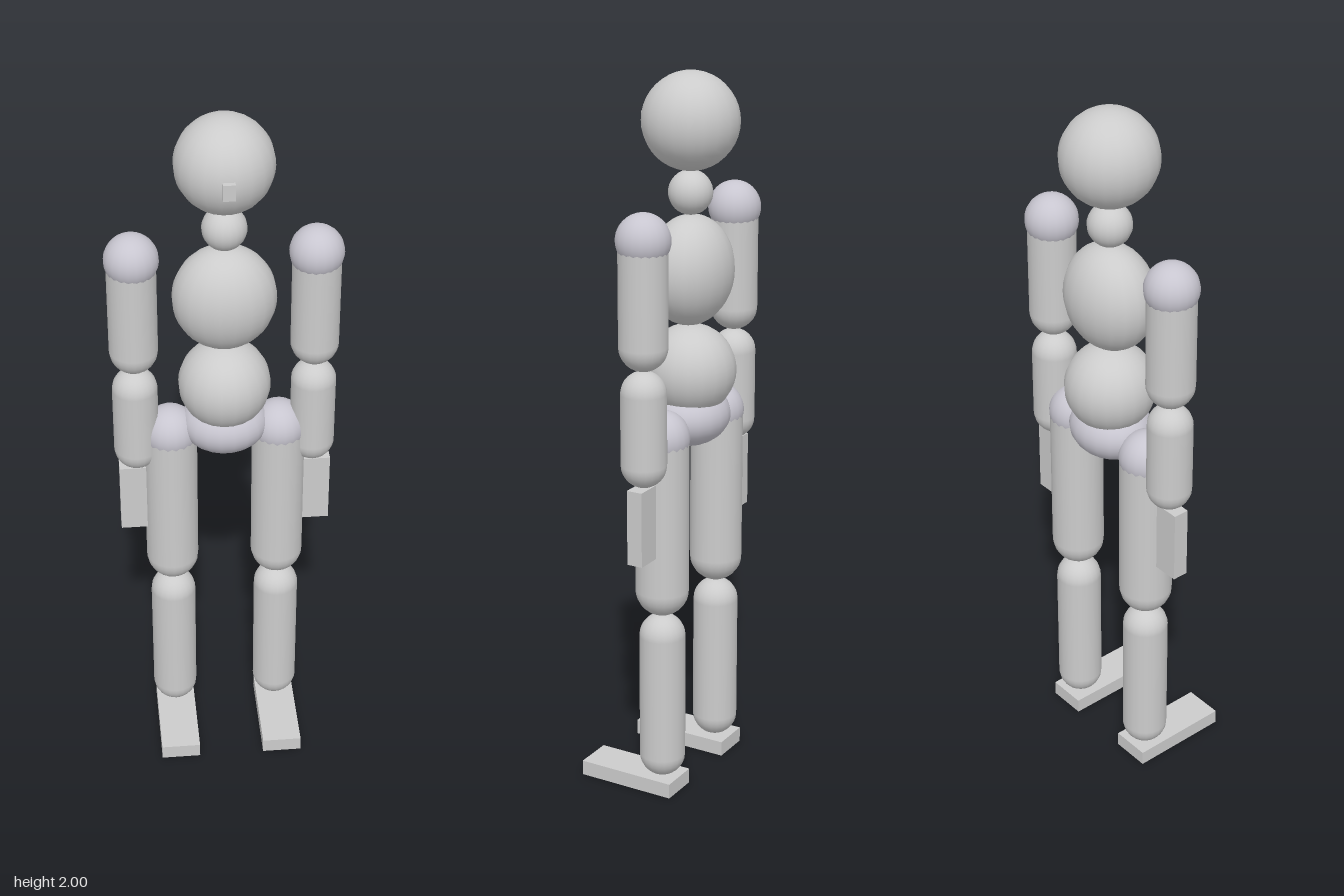
import * as THREE from 'three';

const BODY_Z = -0.052;

export function createModel() {
  const model = new THREE.Group();
  model.name = 'mannequin';
  const grey = new THREE.MeshStandardMaterial({ color: 0xcccccc });
  const jointGrey = new THREE.MeshStandardMaterial({ color: 0xc8c6d0 });

  const add = (parent, name, geometry, x, y, z = BODY_Z, material = grey) => {
    const mesh = new THREE.Mesh(geometry, material);
    mesh.name = name;
    mesh.position.set(x, y, z);
    parent.add(mesh);
    return mesh;
  };

  // Ellipsoid given by its three radii
  const ball = (rx, ry = rx, rz = rx) =>
    new THREE.SphereGeometry(1, 20, 20).rotateY(Math.PI / 20).scale(rx, ry, rz);

  // Upright round-ended limb between two heights
  const limb = (parent, name, r, bottom, top, x) =>
    add(parent, name, new THREE.CapsuleGeometry(r, top - bottom - 2 * r, 8, 20), x, (bottom + top) / 2);

  // Head and trunk
  add(model, 'head', ball(0.131), 0, 1.869);
  add(model, 'nose', new THREE.BoxGeometry(0.032, 0.045, 0.04), 0, 1.863, 0.07);
  add(model, 'neck', ball(0.06), 0, 1.68);
  add(model, 'chest', ball(0.14, 0.15, 0.113), 0, 1.47);
  add(model, 'abdomen', ball(0.126), 0, 1.194);
  add(model, 'pelvis', ball(0.122, 0.084, 0.108), 0, 1.066, BODY_Z, jointGrey);

  for (const side of [1, -1]) {
    const prefix = side > 0 ? 'left' : 'right';

    // Arm
    const arm = new THREE.Group();
    arm.name = prefix + 'Arm';
    add(arm, 'shoulder', ball(0.073), side * 0.243, 1.597, BODY_Z, jointGrey);
    limb(arm, 'upperArm', 0.066, 1.25, 1.65, side * 0.244);
    limb(arm, 'forearm', 0.062, 0.93, 1.25, side * 0.244);
    add(arm, 'hand', new THREE.BoxGeometry(0.077, 0.21, 0.045), side * 0.256, 0.825);

    // Leg
    const leg = new THREE.Group();
    leg.name = prefix + 'Leg';
    add(leg, 'hip', ball(0.076), side * 0.15, 1.04, BODY_Z, jointGrey);
    limb(leg, 'thigh', 0.074, 0.53, 1.1, side * 0.15);
    limb(leg, 'shin', 0.064, 0.043, 0.53, side * 0.15);
    add(leg, 'foot', new THREE.BoxGeometry(0.112, 0.043, 0.287), side * 0.15, 0.0215, 0.037);

    model.add(arm, leg);
  }
  return model;
}
